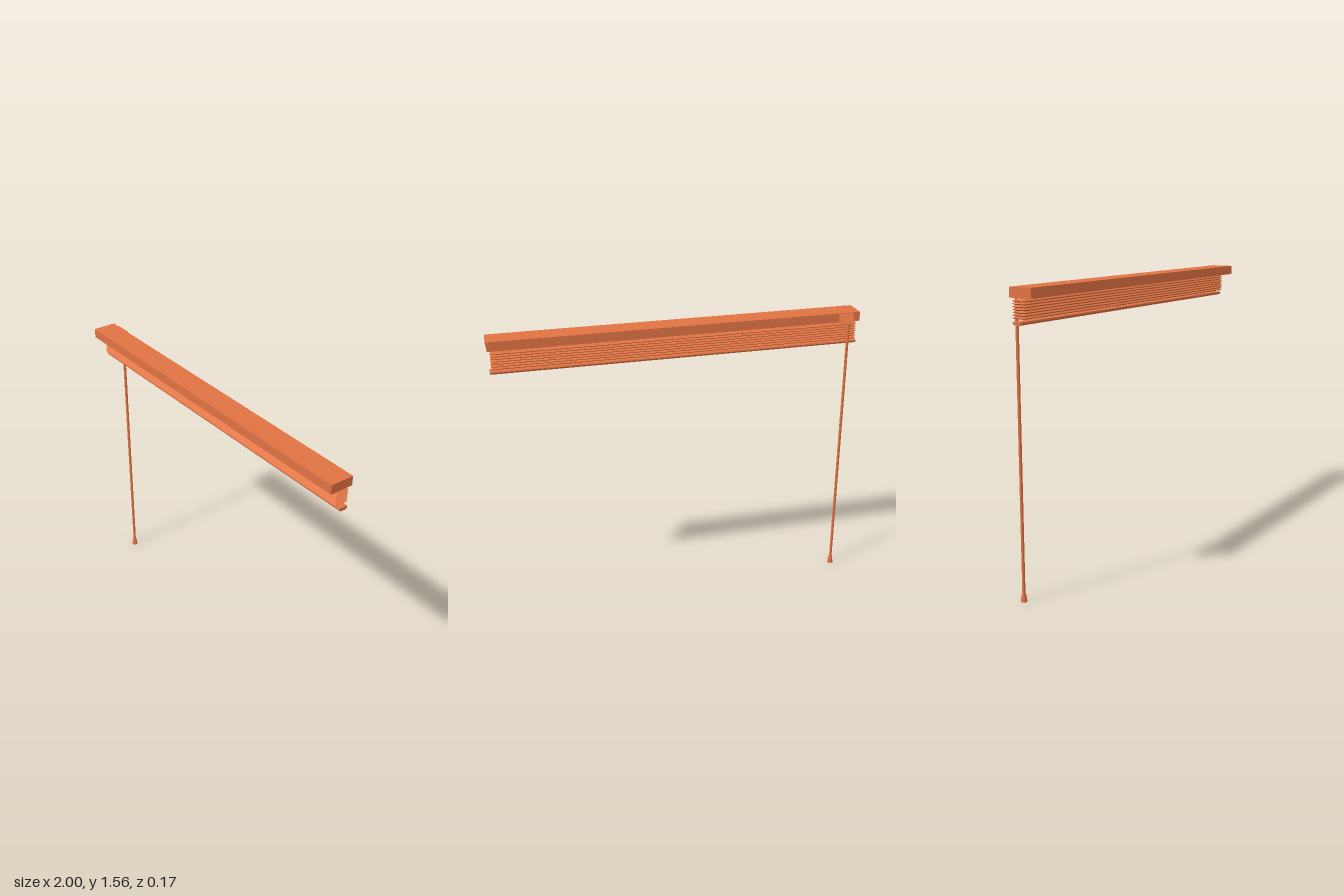
import * as THREE from 'three';

const material = new THREE.MeshStandardMaterial({ color: 0xe07343, flatShading: true });

// Prism along x from a profile of [z, y] points
function prism(points, x0, x1) {
  const shape = new THREE.Shape(points.map(([z, y]) => new THREE.Vector2(-z, y)));
  return new THREE.ExtrudeGeometry(shape, { depth: x1 - x0, bevelEnabled: false })
    .rotateY(Math.PI / 2)
    .translate(x0, 0, 0);
}

// Rectangular bellows: rings alternate between wide folds and narrow creases
function bellows(pleats, y0, y1, z, wide, narrow) {
  const rings = pleats * 2 + 1;
  const positions = [];
  const index = [];
  for (let i = 0; i < rings; i++) {
    const [hx, hz] = i % 2 ? wide : narrow;
    const y = y0 + (y1 - y0) * i / (rings - 1);
    for (const [sx, sz] of [[-1, 1], [1, 1], [1, -1], [-1, -1]]) {
      positions.push(sx * hx, y, z + sz * hz);
    }
  }
  for (let i = 0; i < rings - 1; i++) {
    for (let k = 0; k < 4; k++) {
      const a = i * 4 + k, b = i * 4 + (k + 1) % 4;
      index.push(a, b, b + 4, a, b + 4, a + 4);
    }
  }
  const t = (rings - 1) * 4;
  index.push(0, 2, 1, 0, 3, 2, t, t + 1, t + 2, t, t + 2, t + 3);
  const geometry = new THREE.BufferGeometry();
  geometry.setAttribute('position', new THREE.Float32BufferAttribute(positions, 3));
  geometry.setIndex(index);
  const flat = geometry.toNonIndexed();
  flat.computeVertexNormals();
  return flat;
}

export function createModel() {
  const group = new THREE.Group();
  const add = (name, geometry, x = 0, y = 0, z = 0) => {
    const mesh = new THREE.Mesh(geometry, material);
    mesh.name = name;
    mesh.position.set(x, y, z);
    group.add(mesh);
  };

  // Headrail
  add('headrail', new THREE.BoxGeometry(2, 0.05, 0.128), 0, 1.536, 0.02);

  // Gathered slats
  add('slatStack', bellows(7, 1.41, 1.502, -0.006, [0.984, 0.037], [0.97, 0.027]));

  // Bottom rail with rounded lower corners
  add('bottomRail', prism([
    [0.013, 1.4], [0.015, 1.394], [0.009, 1.385], [0.003, 1.383],
    [-0.023, 1.383], [-0.029, 1.385], [-0.035, 1.394], [-0.033, 1.4],
  ], -0.992, 0.992));

  // Sloped bracket holding the wand
  add('wandBracket', prism([
    [-0.042, 1.511], [-0.042, 1.557], [-0.054, 1.557], [-0.083, 1.511],
  ], -0.957, -0.878));

  // Tilt wand and its flared grip
  add('wand', new THREE.CylinderGeometry(0.008, 0.008, 1.485, 8), -0.93, 0.7775, -0.059);
  add('wandGrip', new THREE.CylinderGeometry(0.011, 0.017, 0.042, 8), -0.93, 0.021, -0.059);

  return group;
}
